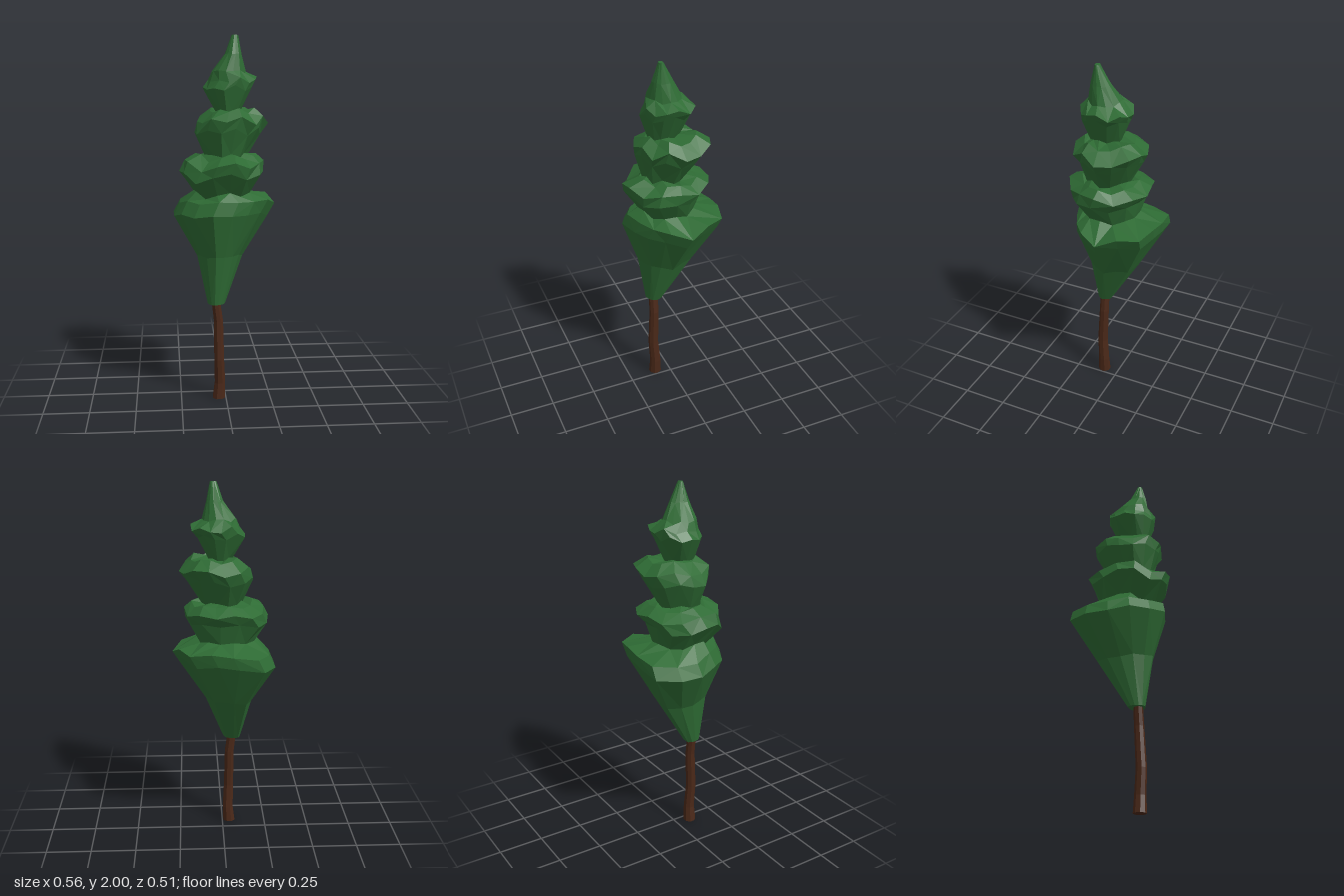
import * as THREE from 'three';

// Small seeded random, -1..1
function makeRandom(seed) {
  return () => {
    seed = (seed * 16807) % 2147483647;
    return (seed / 2147483647) * 2 - 1;
  };
}

// Skin closed rings of points (bottom to top) and cap both ends
function loft(rings) {
  const n = rings[0].length;
  const pos = [];
  const tri = (...pts) => pts.forEach((p) => pos.push(p.x, p.y, p.z));
  for (let i = 0; i < rings.length - 1; i++) {
    for (let k = 0; k < n; k++) {
      const m = (k + 1) % n;
      const a = rings[i][k], b = rings[i][m], c = rings[i + 1][m], d = rings[i + 1][k];
      if ((i + k) % 2) { tri(a, c, b); tri(a, d, c); }
      else { tri(a, d, b); tri(b, d, c); }
    }
  }
  const bottom = rings[0], top = rings[rings.length - 1];
  for (let k = 1; k < n - 1; k++) {
    tri(bottom[0], bottom[k], bottom[k + 1]);
    tri(top[0], top[k + 1], top[k]);
  }
  const geo = new THREE.BufferGeometry();
  geo.setAttribute('position', new THREE.Float32BufferAttribute(pos, 3));
  geo.computeVertexNormals();
  return geo;
}

// Irregular crown outline: radii at even angles, from +x towards +z
const RADII = [0.275, 0.25, 0.23, 0.23, 0.264, 0.26, 0.257, 0.27, 0.3, 0.325, 0.27, 0.266, 0.285, 0.266];

// One foliage ring: outline partly rounded off, jittered, fitted to its x and z limits
function leafRing([y, x0, x1, z0, z1], roundness, rough, lifts, random) {
  const pts = RADII.map((radius, k) => {
    const r = THREE.MathUtils.lerp(radius, 0.27, roundness) * (1 + rough * random());
    const a = (k / RADII.length) * Math.PI * 2;
    return new THREE.Vector3(r * Math.cos(a), y + lifts[k] * (x1 - x0), r * Math.sin(a));
  });
  const box = new THREE.Box3().setFromPoints(pts);
  for (const p of pts) {
    p.x = THREE.MathUtils.mapLinear(p.x, box.min.x, box.max.x, x0, x1);
    p.z = THREE.MathUtils.mapLinear(p.z, box.min.z, box.max.z, z0, z1);
  }
  return pts;
}

// Foliage tiers, bottom to top; each ring is y, xMin, xMax, zMin, zMax
const TIERS = [
  { roundness: 0, rough: 0.015, wave: 0.05, rings: [
    [0.55, -0.1, -0.005, 0.04, 0.13], [0.82, -0.155, 0.095, -0.125, 0.175],
    [1.05, -0.28, 0.235, -0.25, 0.255], [1.12, -0.25, 0.277, -0.26, 0.235]] },
  { roundness: 0.7, rough: 0.05, wave: 0.06, rings: [
    [1.16, -0.17, 0.14, -0.13, 0.17], [1.26, -0.25, 0.205, -0.16, 0.24],
    [1.32, -0.22, 0.21, -0.205, 0.255], [1.36, -0.16, 0.17, -0.13, 0.17]] },
  { roundness: 0.7, rough: 0.05, wave: 0.06, rings: [
    [1.37, -0.11, 0.115, -0.085, 0.155], [1.5, -0.165, 0.19, -0.16, 0.19],
    [1.56, -0.15, 0.235, -0.185, 0.205], [1.61, -0.08, 0.17, -0.12, 0.15]] },
  { roundness: 0.7, rough: 0.05, wave: 0.07, rings: [
    [1.605, -0.055, 0.085, -0.04, 0.13], [1.73, -0.12, 0.15, -0.09, 0.165],
    [1.77, -0.09, 0.17, -0.11, 0.16]] },
  { roundness: 0.7, rough: 0.04, wave: 0.06, rings: [
    [1.81, -0.075, 0.11, -0.045, 0.135], [1.9, -0.005, 0.085, 0.005, 0.115],
    [2, 0.03, 0.065, 0.06, 0.085]] },
];

// Trunk sections: y, centre x, centre z, radius
const TRUNK = [
  [0, -0.04, 0.088, 0.036], [0.09, -0.033, 0.088, 0.031], [0.23, -0.038, 0.097, 0.029],
  [0.45, -0.041, 0.088, 0.027], [0.6, -0.06, 0.088, 0.025],
];

export function createModel() {
  const group = new THREE.Group();
  group.name = 'tree';

  const trunkRings = TRUNK.map(([y, cx, cz, r]) =>
    Array.from({ length: 8 }, (_, k) => {
      const a = (k + 0.5) * Math.PI / 4;
      return new THREE.Vector3(cx + r * Math.cos(a), y, cz + r * Math.sin(a));
    }));
  const trunk = new THREE.Mesh(loft(trunkRings),
    new THREE.MeshStandardMaterial({ color: 0x4a2818, flatShading: true }));
  trunk.name = 'trunk';

  // Rings of one tier share the same waves; the bottom and the tip stay flat
  const random = makeRandom(4711);
  const leafRings = TIERS.flatMap(({ roundness, rough, wave, rings }) => {
    const lifts = RADII.map(() => wave * random());
    const flat = RADII.map(() => 0);
    return rings.map((ring) => {
      const isEnd = ring[0] === 0.55 || ring[0] === 2;
      return leafRing(ring, roundness, rough, isEnd ? flat : lifts, random);
    });
  });
  const foliage = new THREE.Mesh(loft(leafRings),
    new THREE.MeshStandardMaterial({ color: 0x2e6b34, flatShading: true }));
  foliage.name = 'foliage';

  group.add(trunk, foliage);
  return group;
}
